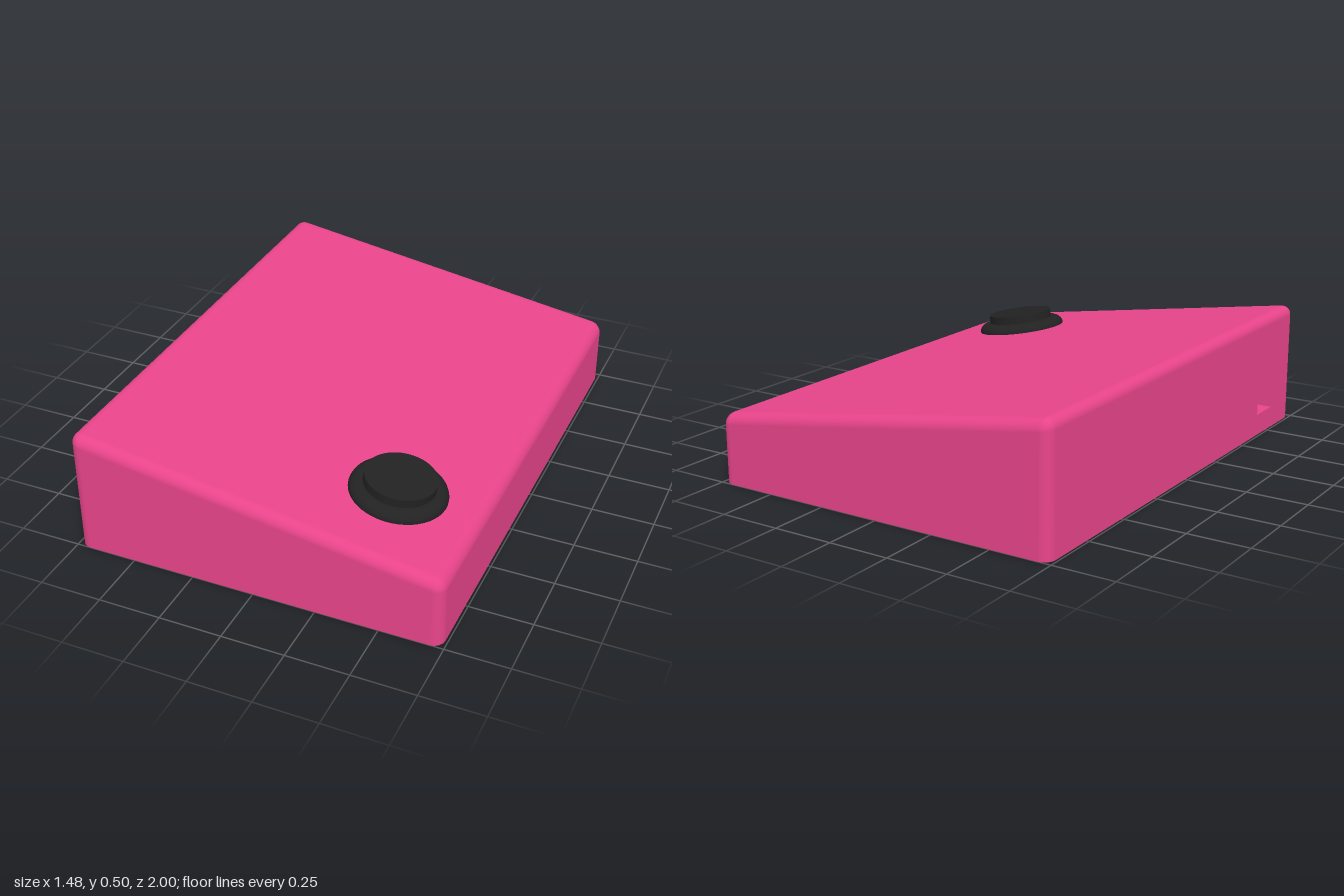
import * as THREE from 'three';
import { toCreasedNormals } from 'three/addons/utils/BufferGeometryUtils.js';

const W = 0.74, D = 1, R = 0.045;   // half width, half depth, edge radius
const H = 0.393, SLOPE = -0.155;    // top height at x = 0, rise per unit of x
const STEPS = 6;

// Wedge shell: rounded-rectangle rings stacked upward, sheared to the sloping top
function shellGeometry() {
  const pos = [], nor = [], idx = [];
  const signs = [[1, 1], [-1, 1], [-1, -1], [1, -1]];
  const n = 4 * (STEPS + 1);
  for (let row = -1; row <= STEPS; row++) {
    const phi = Math.max(row, 0) / STEPS * Math.PI / 2;
    const c = Math.cos(phi), s = Math.sin(phi);
    signs.forEach(([sx, sz], q) => {
      for (let i = 0; i <= STEPS; i++) {
        const t = (q + i / STEPS) * Math.PI / 2;
        const nx = c * Math.cos(t), nz = c * Math.sin(t);
        const x = sx * (W - R) + R * nx, z = sz * (D - R) + R * nz;
        pos.push(x, row < 0 ? 0 : H - R + R * s + SLOPE * x, z);
        const v = new THREE.Vector3(nx - SLOPE * s, s, nz).normalize();
        nor.push(v.x, v.y, v.z);
      }
    });
  }
  const leftWall = 2 * (STEPS + 1) - 1;   // left open here for the panel with the port
  for (let row = 0; row <= STEPS; row++) {
    for (let j = 0; j < n; j++) {
      if (row === 0 && j === leftWall) continue;
      const a = row * n + j, b = row * n + (j + 1) % n;
      idx.push(a, a + n, b, b, a + n, b + n);
    }
  }
  const [p, q, r, s] = [0, 1, 2, 3].map(k => (STEPS + 1) * n + k * (STEPS + 1));
  idx.push(p, r, q, p, s, r);             // sloping top
  const g = new THREE.BufferGeometry();
  g.setAttribute('position', new THREE.Float32BufferAttribute(pos, 3));
  g.setAttribute('normal', new THREE.Float32BufferAttribute(nor, 3));
  g.setIndex(idx);
  return g;
}

function rectPath(path, x0, y0, x1, y1) {
  return path.moveTo(x0, y0).lineTo(x1, y0).lineTo(x1, y1).lineTo(x0, y1).closePath();
}

export function createModel() {
  const group = new THREE.Group();
  const pink = new THREE.MeshStandardMaterial({ color: 0xe8448a });
  const black = new THREE.MeshStandardMaterial({ color: 0x222222 });
  const add = (name, geometry, material, parent = group) => {
    const mesh = new THREE.Mesh(geometry, material);
    mesh.name = name;
    parent.add(mesh);
    return mesh;
  };

  add('wedgeShell', shellGeometry(), pink);

  // Flat underside with rounded corners
  const base = new THREE.Shape();
  const w = W - R, d = D - R;
  base.absarc(w, d, R, 0, Math.PI / 2);
  base.absarc(-w, d, R, Math.PI / 2, Math.PI);
  base.absarc(-w, -d, R, Math.PI, Math.PI * 1.5);
  base.absarc(w, -d, R, Math.PI * 1.5, Math.PI * 2);
  add('underside', new THREE.ShapeGeometry(base, STEPS).rotateX(Math.PI / 2), pink);

  // Tall side wall with a rectangular port
  const port = { z0: 0.66, z1: 0.8, y0: 0.09, y1: 0.21, depth: 0.2 };
  const wall = rectPath(new THREE.Shape(), -d, 0, d, H - R - SLOPE * W);
  wall.holes.push(rectPath(new THREE.Path(), port.z0, port.y0, port.z1, port.y1));
  add('portWall', new THREE.ShapeGeometry(wall).rotateY(-Math.PI / 2).translate(-W, 0, 0), pink);

  // Port recess: a box turned inside out, without its outer face
  const recess = new THREE.BoxGeometry(port.depth, port.y1 - port.y0, port.z1 - port.z0);
  recess.scale(-1, 1, 1);
  recess.setIndex(Array.from(recess.index.array).slice(6));
  recess.clearGroups();
  recess.computeVertexNormals();
  recess.translate(-W + port.depth / 2, (port.y0 + port.y1) / 2, (port.z0 + port.z1) / 2);
  add('portRecess', recess, pink);

  // Round push button lying on the slope
  const button = new THREE.Group();
  button.name = 'button';
  button.position.set(0.415, H + SLOPE * 0.415, 0.61);
  button.rotation.z = Math.atan(SLOPE);
  group.add(button);
  const lathe = pts => toCreasedNormals(
    new THREE.LatheGeometry(pts.map(([x, y]) => new THREE.Vector2(x, y)), 48), 0.6);
  add('buttonCollar', lathe([[0.188, -0.01], [0.188, 0.006], [0.183, 0.018], [0.173, 0.028],
    [0.16, 0.034], [0.145, 0.036], [0.12, 0.036]]), black, button);
  add('buttonCap', lathe([[0.138, 0.03], [0.138, 0.07], [0, 0.07]]), black, button);

  return group;
}
